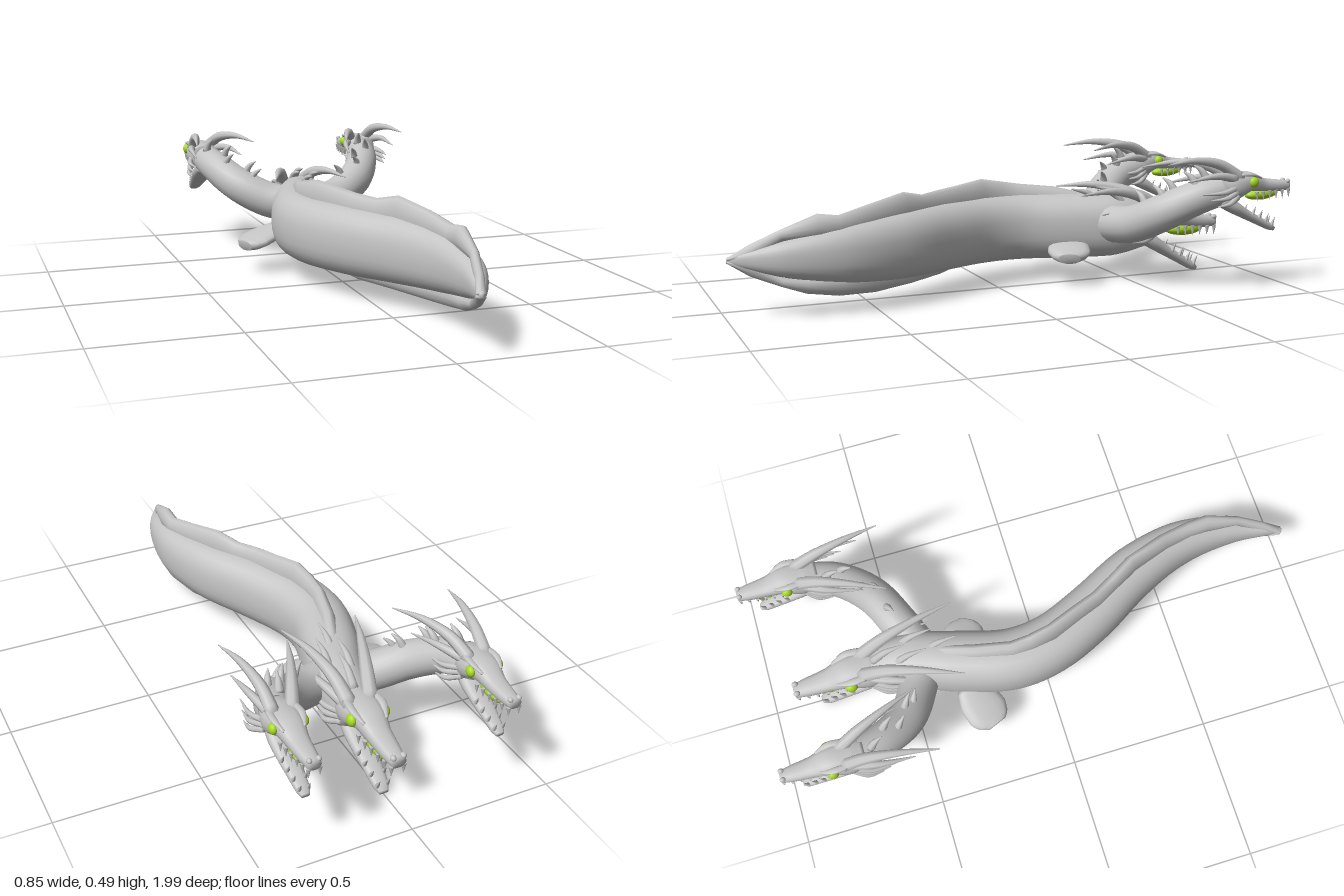
import * as THREE from 'three';

const hide = new THREE.MeshStandardMaterial({ color: 0xc4c4c4 });
hide.name = 'grey hide';
const green = new THREE.MeshStandardMaterial({ color: 0xa6da20 });
green.name = 'acid green';

// Swept solid through stations [x, y, z, halfWidth, halfHeight]; e shapes the cross-section
function loft(name, stations, { steps = 5, sides = 16, e = 2 } = {}) {
  const path = new THREE.CatmullRomCurve3(stations.map(s => new THREE.Vector3(s[0], s[1], s[2])));
  const sizes = new THREE.CatmullRomCurve3(stations.map(s => new THREE.Vector3(s[3], s[4] ?? s[3], 0)));
  const n = (stations.length - 1) * steps;
  const up = new THREE.Vector3(0, 1, 0);
  const pos = [], index = [];
  const pw = v => Math.sign(v) * Math.pow(Math.abs(v), 2 / e);
  for (let r = -1; r <= n + 1; r++) {
    const t = THREE.MathUtils.clamp(r / n, 0, 1);
    const c = path.getPoint(t), tan = path.getTangent(t), size = sizes.getPoint(t);
    if (r < 0 || r > n) size.set(0, 0, 0); // closes the ends
    const side = tan.clone().cross(up).normalize();
    const top = side.clone().cross(tan);
    for (let j = 0; j < sides; j++) {
      const a = (j / sides) * Math.PI * 2;
      const p = c.clone()
        .addScaledVector(side, pw(Math.cos(a)) * Math.max(0, size.x))
        .addScaledVector(top, pw(Math.sin(a)) * Math.max(0, size.y));
      pos.push(p.x, p.y, p.z);
    }
  }
  for (let r = 0; r < n + 2; r++) {
    for (let j = 0; j < sides; j++) {
      const a = r * sides + j, b = r * sides + (j + 1) % sides;
      index.push(a, a + sides, b, b, a + sides, b + sides);
    }
  }
  const g = new THREE.BufferGeometry();
  g.setAttribute('position', new THREE.Float32BufferAttribute(pos, 3));
  g.setIndex(index);
  g.computeVertexNormals();
  const m = new THREE.Mesh(g, hide);
  m.name = name;
  return m;
}

// Tapering curved spike
function spike(name, points, r) {
  const last = points.length - 1;
  return loft(name, points.map((p, i) => [...p, r * (1 - Math.pow(i / last, 1.5)) + 0.002]), { sides: 8, steps: 4 });
}

function ball(name, material, p, s) {
  const m = new THREE.Mesh(new THREE.SphereGeometry(1, 16, 12), material);
  m.name = name;
  m.position.set(...p);
  m.scale.set(...s);
  return m;
}

const toothGeometry = new THREE.ConeGeometry(0.009, 0.04, 6);
function tooth(name, x, y, z, down) {
  const m = new THREE.Mesh(toothGeometry, hide);
  m.name = name;
  m.position.set(x, y, z);
  if (down) m.rotation.x = Math.PI;
  return m;
}

// Head facing -z with its origin at the back of the skull
function makeHead(name, hornYaw, hornRoll) {
  const head = new THREE.Group();
  head.name = name;
  head.add(loft('skull', [
    [0, 0, 0.06, 0.055, 0.052], [0, 0, 0, 0.071, 0.058], [0, 0.01, -0.08, 0.059, 0.043],
    [0, -0.012, -0.15, 0.043, 0.03], [0, -0.025, -0.23, 0.034, 0.025], [0, -0.03, -0.28, 0.025, 0.019],
  ], { e: 2.5 }));
  head.add(ball('gum', green, [0, -0.05, -0.15], [0.034, 0.026, 0.08]));

  const jaw = new THREE.Group();
  jaw.name = 'lowerJaw';
  jaw.position.set(0, -0.09, 0);
  jaw.rotation.x = -0.53;
  jaw.add(loft('jawBone', [
    [0, 0.01, 0.07, 0.04, 0.03], [0, 0.004, 0, 0.048, 0.027], [0, 0, -0.07, 0.042, 0.021],
    [0, 0, -0.15, 0.033, 0.018], [0, 0, -0.21, 0.026, 0.016], [0, 0, -0.235, 0.016, 0.01],
  ], { e: 2.5 }));
  head.add(jaw);

  const horns = new THREE.Group();
  horns.name = 'horns';
  horns.rotation.set(0, hornYaw, hornRoll);
  head.add(horns);

  for (const s of [-1, 1]) {
    head.add(ball('eye', green, [s * 0.06, 0.014, -0.077], [0.016, 0.022, 0.022]));
    head.add(loft('brow', [
      [s * 0.05, 0.05, -0.02, 0.014, 0.008], [s * 0.054, 0.046, -0.07, 0.014, 0.007], [s * 0.04, 0.024, -0.125, 0.006, 0.005],
    ], { sides: 8 }));
    head.add(ball('nostril', hide, [s * 0.018, -0.01, -0.272], [0.01, 0.01, 0.012]));
    for (let i = 0; i < 6; i++) {
      const k = i / 5;
      head.add(tooth('upperTooth', s * (0.044 - 0.022 * k), -0.052 - 0.01 * k, -0.1 - 0.172 * k, true));
    }
    for (let i = 0; i < 4; i++) {
      jaw.add(tooth('lowerTooth', s * (0.033 - 0.005 * i), 0.028, -0.09 - 0.04 * i, false));
    }
    // Long crown horns, side horns and cheek spines
    horns.add(spike('crownHorn', [
      [s * 0.035, 0.03, -0.03], [s * 0.058, 0.092, 0.06], [s * 0.095, 0.123, 0.19], [s * 0.135, 0.118, 0.33],
    ], 0.026));
    horns.add(spike('sideHorn', [
      [s * 0.05, 0.03, 0], [s * 0.088, 0.05, 0.1], [s * 0.108, 0.04, 0.24],
    ], 0.018));
    for (let k = 0; k < 3; k++) {
      horns.add(spike('cheekSpine', [
        [s * 0.052, -0.01 - 0.018 * k, 0], [s * 0.084, -0.022 - 0.024 * k, 0.07 - 0.01 * k],
        [s * 0.088, -0.02 - 0.028 * k, 0.17 - 0.03 * k],
      ], 0.012));
    }
  }
  return head;
}

export function createModel() {
  const model = new THREE.Group();
  model.name = 'threeHeadedSerpent';

  // Winding body running from the middle neck to the tail tip
  model.add(loft('body', [
    [0, 0.21, -0.64, 0.055, 0.055], [0, 0.2, -0.57, 0.075, 0.092], [-0.015, 0.198, -0.46, 0.095, 0.116],
    [-0.07, 0.198, -0.3, 0.105, 0.122], [-0.115, 0.198, -0.12, 0.106, 0.122], [-0.1, 0.198, 0.03, 0.104, 0.122],
    [-0.03, 0.198, 0.2, 0.102, 0.121], [0.077, 0.198, 0.4, 0.093, 0.115], [0.139, 0.196, 0.6, 0.075, 0.098],
    [0.138, 0.193, 0.8, 0.048, 0.064], [0.102, 0.191, 0.93, 0.023, 0.03], [0.08, 0.19, 0.99, 0.008, 0.01],
  ], { sides: 28, e: 2.4 }));

  // Back and belly fins with crisp corners, given as [x, outerY, z]
  const fin = (name, rows, inner) => model.add(loft(name,
    rows.map(([x, y, z]) => {
      const root = 0.19 + inner * (z > 0.85 ? 0 : 0.06);
      return [x, (y + root) / 2, z, z > 0.8 ? 0.016 : 0.027, Math.abs(y - root) / 2];
    }), { steps: 1, sides: 12, e: 1.9 }));
  fin('backFin', [
    [-0.04, 0.315, -0.38], [-0.085, 0.345, -0.25], [-0.115, 0.358, -0.12], [-0.113, 0.37, -0.05], [-0.1, 0.385, 0.03],
    [-0.055, 0.373, 0.14], [-0.025, 0.366, 0.22], [0.02, 0.36, 0.3], [0.065, 0.38, 0.38], [0.118, 0.353, 0.52],
    [0.145, 0.328, 0.63], [0.148, 0.338, 0.7], [0.135, 0.29, 0.82], [0.11, 0.245, 0.91], [0.08, 0.2, 0.985],
  ], 1);
  fin('bellyFin', [
    [-0.05, 0.08, 0.15], [-0.015, 0.062, 0.23], [0.05, 0.055, 0.35], [0.115, 0.05, 0.5], [0.147, 0.056, 0.63],
    [0.148, 0.073, 0.74], [0.136, 0.1, 0.82], [0.11, 0.135, 0.91], [0.08, 0.18, 0.985],
  ], -1);

  // Swept paddle flippers on both flanks
  for (const s of [-1, 1]) {
    const x = d => -0.1 + s * d;
    model.add(loft(s > 0 ? 'leftFlipper' : 'rightFlipper', [
      [x(0.05), 0.15, -0.295, 0.05, 0.025], [x(0.11), 0.133, -0.275, 0.075, 0.023], [x(0.155), 0.12, -0.257, 0.078, 0.022],
      [x(0.188), 0.109, -0.242, 0.062, 0.021], [x(0.205), 0.104, -0.235, 0.038, 0.019],
    ], { e: 2.4 }));
  }

  // Middle head
  const middle = makeHead('middleHead', -0.08, 0);
  middle.position.set(0, 0.215, -0.62);
  model.add(middle);
  for (const [x, z] of [[0, -0.6], [-0.035, -0.53], [0.03, -0.5], [-0.02, -0.42]]) {
    model.add(spike('neckSpine', [[x, 0.27, z], [x, 0.32, z + 0.05], [x, 0.34, z + 0.12]], 0.015));
  }

  // Side necks and heads; the left crown leans inward
  for (const s of [-1, 1]) {
    const word = s > 0 ? 'left' : 'right';
    const neck = [
      [s * 0.02, 0.21, -0.43, 0.07], [s * 0.13, 0.222, -0.475, 0.069], [s * 0.24, 0.277, -0.54, 0.067],
      [s * 0.31, 0.338, -0.645, 0.061], [s * 0.34, 0.373, -0.77, 0.052],
    ];
    model.add(loft(word + 'Neck', neck, { steps: 8, sides: 20 }));
    const curve = new THREE.CatmullRomCurve3(neck.map(p => new THREE.Vector3(p[0], p[1], p[2])));
    for (let i = 0; i < 5; i++) {
      const t = 0.38 + i * 0.11;
      const p = curve.getPoint(t), d = curve.getTangent(t);
      const off = (i % 2 ? 1 : -1) * 0.018;
      const at = (h, b) => [p.x + off - d.x * b, p.y + h, p.z - d.z * b];
      model.add(spike('neckSpine', [at(0.05, 0), at(0.08, 0.02), at(0.1, 0.05)], 0.014));
    }
    const head = makeHead(word + 'Head', -s * 0.1, s > 0 ? 0.15 : 0);
    head.position.set(s * 0.34, 0.375, -0.755);
    head.rotation.x = 0.07;
    head.scale.setScalar(0.85);
    model.add(head);
  }
  return model;
}
